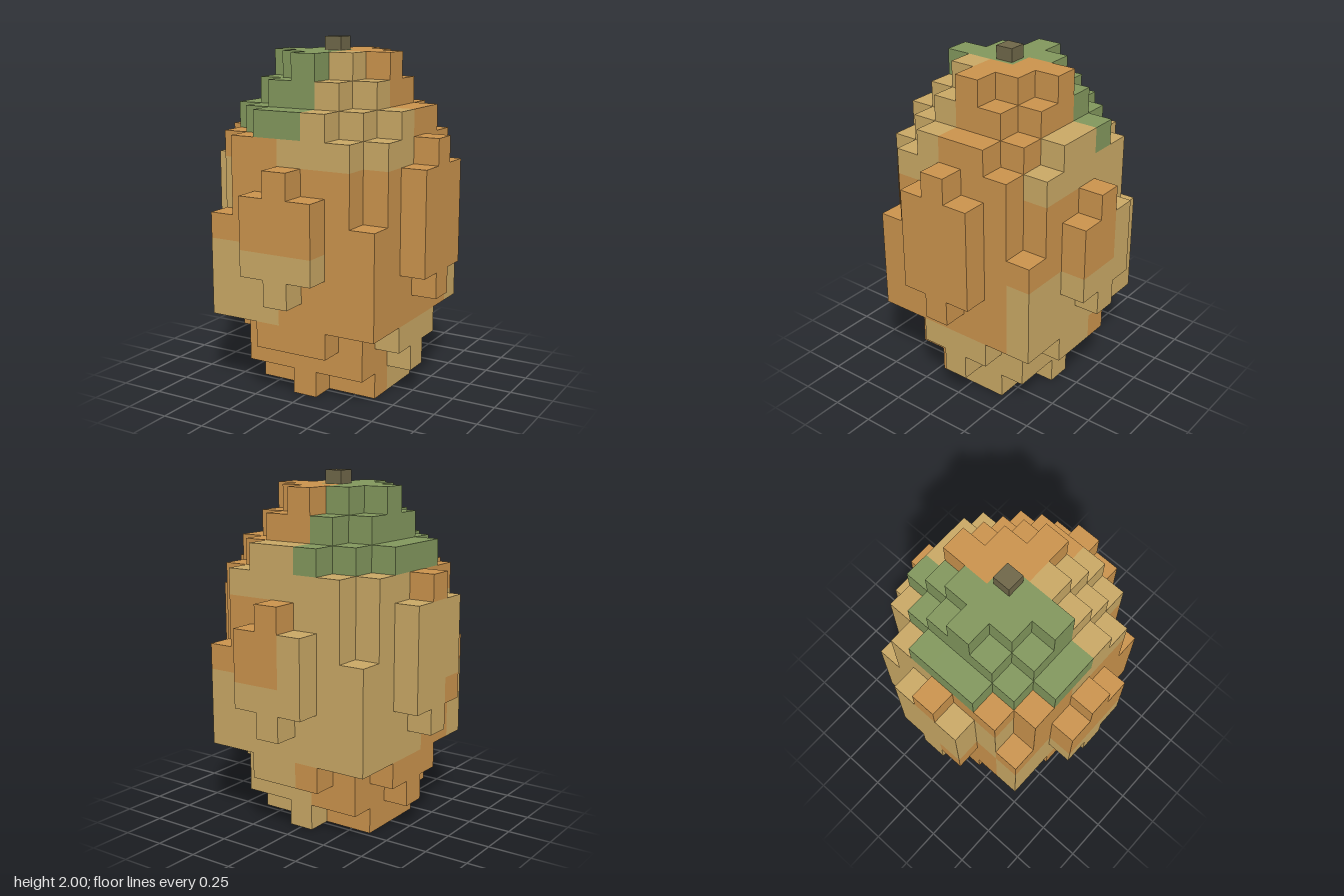
import * as THREE from 'three';
import { mergeGeometries } from 'three/addons/utils/BufferGeometryUtils.js';

const S = 0.148; // cube size

// One entry per layer from the ground up: half-width in x at |z| = 0, 1, 2...
const LAYERS = [
  [2, 2, 0],
  [3, 2, 2],
  [3, 3, 2, 1],
  [3, 3, 3, 3],
  [4, 3, 3, 3, 0],
  [4, 4, 3, 3, 1],
  [4, 4, 3, 3, 1],
  [4, 4, 3, 2, 1],
  [4, 4, 3, 2, 0],
  [4, 3, 3, 2],
  [3, 3, 2, 1],
  [2, 2, 1],
  [2, 1, 0],
];

const filled = (x, y, z) => {
  const half = LAYERS[y]?.[Math.abs(z)];
  return half !== undefined && Math.abs(x) <= half;
};

// Colour patches, chosen by layer band and position
function patchAt(x, y, z) {
  if (y <= 2) return x >= 3 || (x >= 0 && z <= 0) ? 'tan' : 'orange';
  if (y <= 5) {
    if (z >= 4 || z <= -3) return 'tan';
    if (x >= 0) return 'orange';
    return z >= 3 || z <= 0 ? 'tan' : 'orange';
  }
  if (y <= 8) return x <= -1 && z <= 2 ? 'tan' : 'orange';
  if (y === 9) {
    if (x >= 0) return z >= 1 || z <= -3 ? 'tan' : 'orange';
    return z >= 0 ? 'orange' : 'tan';
  }
  if (x <= -1 || (x === 0 && z >= 0)) return 'green';
  return z >= 1 || z <= -3 ? 'tan' : 'orange';
}

// The six cube sides: outward direction and the turn that aims a plane there
const Q = Math.PI / 2;
const SIDES = [
  [[1, 0, 0], 'rotateY', Q],
  [[-1, 0, 0], 'rotateY', -Q],
  [[0, 1, 0], 'rotateX', -Q],
  [[0, -1, 0], 'rotateX', Q],
  [[0, 0, 1], 'rotateY', 0],
  [[0, 0, -1], 'rotateY', Math.PI],
];

function material(name, color) {
  const m = new THREE.MeshStandardMaterial({ color });
  m.name = name;
  return m;
}

export function createModel() {
  const group = new THREE.Group();
  group.name = 'blockFruit';

  const skins = {
    orange: ['orangeSkin', material('orange', 0xc9924c)],
    tan: ['tanSkin', material('tan', 0xc8a764)],
    green: ['greenCrown', material('green', 0x81965c)],
  };
  const faces = { orange: [], tan: [], green: [] };

  // Outer faces of the stepped body
  for (let y = 0; y < LAYERS.length; y++)
    for (let x = -4; x <= 4; x++)
      for (let z = -4; z <= 4; z++) {
        if (!filled(x, y, z)) continue;
        for (const [[dx, dy, dz], turn, angle] of SIDES) {
          if (filled(x + dx, y + dy, z + dz)) continue;
          const face = new THREE.PlaneGeometry(S, S)[turn](angle);
          face.translate((x + dx / 2) * S, (y + 0.5 + dy / 2) * S, (z + dz / 2) * S);
          faces[patchAt(x, y, z)].push(face);
        }
      }

  for (const key in skins) {
    const [name, mat] = skins[key];
    const mesh = new THREE.Mesh(mergeGeometries(faces[key]), mat);
    mesh.name = name;
    group.add(mesh);
  }

  // Short square stem
  const top = LAYERS.length * S;
  const stem = new THREE.Mesh(new THREE.BoxGeometry(0.104, 2 - top, 0.104), material('stemBrown', 0x6e6648));
  stem.position.y = (2 + top) / 2;
  stem.name = 'stem';
  group.add(stem);

  return group;
}
